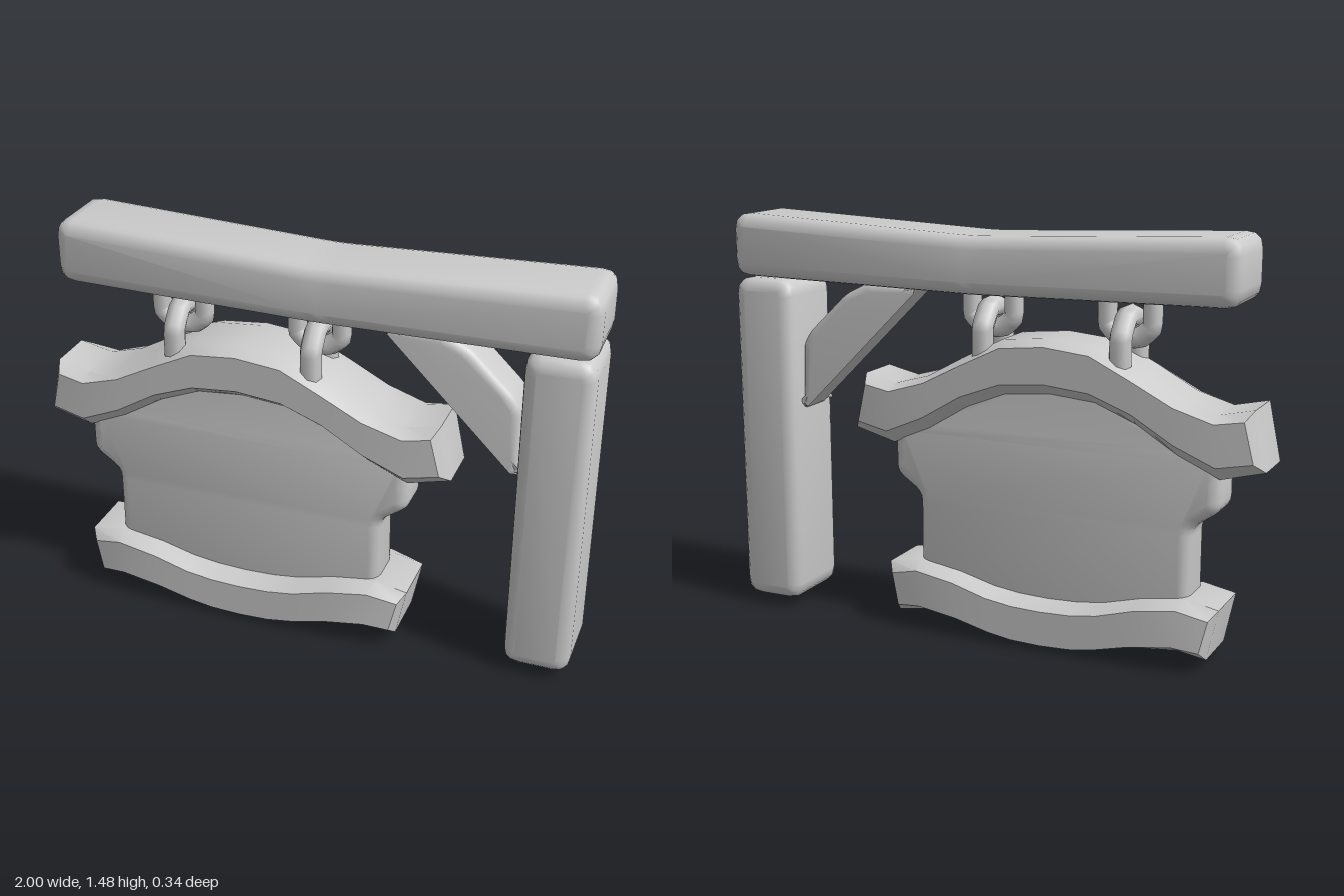
import * as THREE from 'three';
import { toCreasedNormals } from 'three/addons/utils/BufferGeometryUtils.js';

const material = new THREE.MeshStandardMaterial({ color: 0xcccccc });
const SIGN_X = -0.235; // centre line of the hanging sign

function add(parent, name, geometry) {
  const mesh = new THREE.Mesh(geometry, material);
  mesh.name = name;
  parent.add(mesh);
  return mesh;
}

// Polygon with softened corners
function softShape(points, r) {
  const v = points.map(p => new THREE.Vector2(...p));
  const shape = new THREE.Shape();
  v.forEach((p, i) => {
    const toward = q => {
      const d = q.clone().sub(p);
      return p.clone().addScaledVector(d, Math.min(r / d.length(), 0.45));
    };
    const a = toward(v[(i + v.length - 1) % v.length]);
    const b = toward(v[(i + 1) % v.length]);
    if (i === 0) shape.moveTo(a.x, a.y); else shape.lineTo(a.x, a.y);
    shape.quadraticCurveTo(p.x, p.y, b.x, b.y);
  });
  shape.closePath();
  return shape;
}

// Softened slab between z0 and z1, keeping the drawn outline as its widest size
function slab(points, z0, z1, bevel, radius) {
  const geometry = new THREE.ExtrudeGeometry(softShape(points, radius), {
    depth: z1 - z0 - 2 * bevel, bevelThickness: bevel, bevelSize: bevel,
    bevelOffset: -bevel, bevelSegments: 3, curveSegments: 3,
  });
  geometry.translate(0, 0, z0 + bevel);
  return toCreasedNormals(geometry, 0.9);
}

// Mirror half profiles (listed from the centre outward) into a closed outline
function outline(top, bottom) {
  const full = half => [...half.slice(1).reverse().map(([x, y]) => [-x, y]), ...half];
  return [...full(bottom), ...full(top).reverse()];
}

// Moulding: small front and back faces, chamfered out to a wider middle
function moulding(face, body, zFace, zBody, endDrop) {
  const n = face.length, reach = Math.max(...face.map(p => p[0]));
  const ring = (loop, z, drop, sign) => loop.map(([x, y]) =>
    [x, y, sign * (z - drop * Math.min(1, Math.abs(x / reach)) ** 6)]);
  const rings = [
    ring(face, zFace, endDrop, 1), ring(body, zBody, 0, 1),
    ring(body, zBody, 0, -1), ring(face, zFace, endDrop, -1),
  ];
  const index = [];
  for (let k = 0; k < 3; k++) {
    for (let i = 0; i < n; i++) {
      const j = (i + 1) % n, a = k * n, b = a + n;
      index.push(a + i, b + i, b + j, a + i, b + j, a + j);
    }
  }
  for (let j = 0; j < n / 2 - 1; j++) {
    const t = n - 1 - j, back = 3 * n;
    index.push(j, j + 1, t - 1, j, t - 1, t);
    index.push(back + j, back + t - 1, back + j + 1, back + j, back + t, back + t - 1);
  }
  const geometry = new THREE.BufferGeometry();
  geometry.setAttribute('position', new THREE.Float32BufferAttribute(rings.flat(2), 3));
  geometry.setIndex(index);
  return toCreasedNormals(geometry, 0.6);
}

function rod(points, radius) {
  const path = new THREE.CatmullRomCurve3(
    points.map(p => new THREE.Vector3(...p)), false, 'catmullrom', 0.15);
  return new THREE.TubeGeometry(path, 24, radius, 8);
}

export function createModel() {
  const model = new THREE.Group();
  model.name = 'hangingSign';

  // Timber frame
  add(model, 'post', slab(
    [[0.755, 0.03], [0.995, 0.03], [0.995, 1.245], [0.755, 1.245]], -0.165, 0.13, 0.045, 0.06));
  add(model, 'beam', slab(
    [[-0.912, 1.25], [0.04, 1.236], [0.995, 1.25], [0.995, 1.48], [0.04, 1.438], [-0.912, 1.48]],
    -0.165, 0.13, 0.045, 0.06));
  add(model, 'brace', slab(
    [[0.26, 1.25], [0.757, 0.755], [0.748, 1.01], [0.72, 1.055], [0.57, 1.2], [0.47, 1.25]],
    -0.1, 0.07, 0.03, 0.02));

  // Sign board with a shoulder on each side
  const sign = new THREE.Group();
  sign.name = 'sign';
  sign.position.x = SIGN_X;
  model.add(sign);
  add(sign, 'panel', slab(outline(
    [[0, 1.0], [0.3, 0.92], [0.46, 0.8], [0.61, 0.75], [0.612, 0.68], [0.612, 0.56], [0.512, 0.49]],
    [[0, 0.09], [0.3, 0.12], [0.512, 0.15]]), -0.09, 0.09, 0.04, 0.03));

  // Arched top moulding
  add(sign, 'topMoulding', moulding(
    outline(
      [[0, 1.08], [0.165, 1.063], [0.315, 0.99], [0.46, 0.915], [0.6, 0.872], [0.7, 0.888]],
      [[0, 0.952], [0.166, 0.936], [0.315, 0.88], [0.465, 0.79], [0.61, 0.727], [0.733, 0.749]]),
    outline(
      [[0, 1.1], [0.18, 1.083], [0.335, 1.005], [0.47, 0.93], [0.6, 0.893], [0.722, 0.92]],
      [[0, 0.905], [0.166, 0.89], [0.315, 0.83], [0.465, 0.738], [0.61, 0.674], [0.765, 0.715]]),
    0.152, 0.085, 0.02));

  // Sagging bottom moulding
  add(sign, 'bottomMoulding', moulding(
    outline(
      [[0, 0.145], [0.11, 0.149], [0.21, 0.163], [0.34, 0.2], [0.49, 0.222], [0.6, 0.193]],
      [[0, 0.02], [0.11, 0.024], [0.2, 0.038], [0.33, 0.07], [0.48, 0.09], [0.573, 0.078]]),
    outline(
      [[0, 0.17], [0.11, 0.174], [0.21, 0.187], [0.343, 0.222], [0.508, 0.248], [0.626, 0.225]],
      [[0, 0], [0.11, 0.005], [0.2, 0.018], [0.33, 0.045], [0.48, 0.06], [0.588, 0.043]]),
    0.168, 0.1, 0.03));

  // Interlocked hangers: a hook under the beam and a staple on the sign
  for (const [side, x] of [['right', -0.488], ['left', 0.02]]) {
    const hanger = new THREE.Group();
    hanger.name = side + 'Hanger';
    hanger.position.x = x;
    model.add(hanger);
    add(hanger, 'beamHook', rod([
      [-0.08, 1.28, 0], [-0.08, 1.15, 0], [-0.035, 1.11, 0],
      [0.035, 1.11, 0], [0.08, 1.15, 0], [0.08, 1.28, 0]], 0.036));
    add(hanger, 'signStaple', rod([
      [0, 0.98, -0.085], [0, 1.12, -0.085], [0, 1.18, -0.035],
      [0, 1.18, 0.035], [0, 1.12, 0.085], [0, 0.98, 0.085]], 0.04));
  }

  return model;
}
